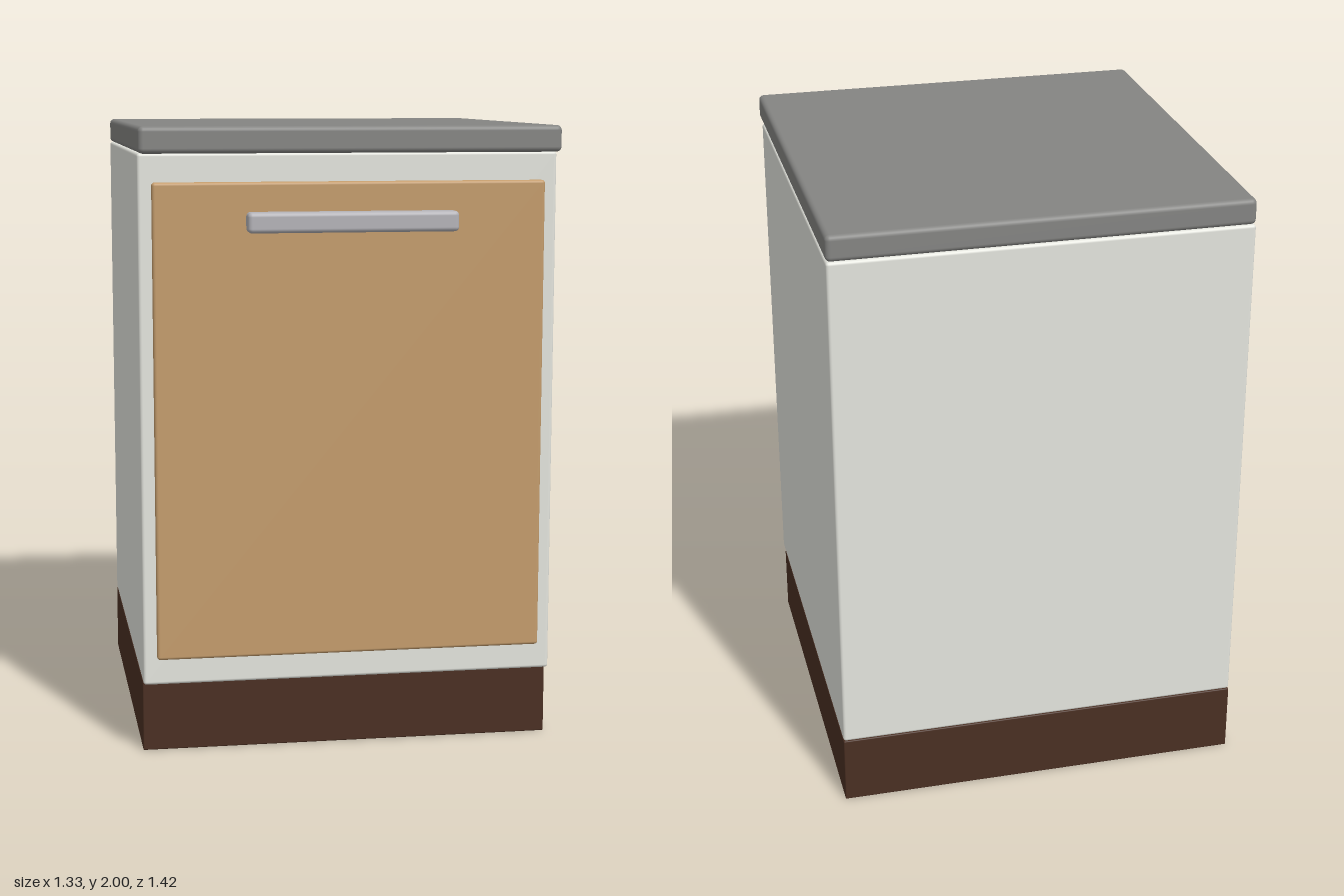
import * as THREE from 'three';
import { RoundedBoxGeometry } from 'three/addons/geometries/RoundedBoxGeometry.js';

// Softly rounded box spanning the given y and z ranges, centred on x = 0
function slab(name, color, width, [y0, y1], [z0, z1], radius) {
  const geometry = new RoundedBoxGeometry(width, y1 - y0, z1 - z0, 3, radius);
  const mesh = new THREE.Mesh(geometry, new THREE.MeshStandardMaterial({ color }));
  mesh.name = name;
  mesh.position.set(0, (y0 + y1) / 2, (z0 + z1) / 2);
  return mesh;
}

export function createModel() {
  const group = new THREE.Group();
  group.name = 'baseCabinet';
  const width = 1.33, back = -0.71;

  group.add(
    // recessed plinth
    slab('plinth', 0x4a2f22, width, [0, 0.23], [back, 0.577], 0.004),
    // cabinet body
    slab('body', 0xe4e5de, width, [0.23, 1.917], [back, 0.624], 0.01),
    // worktop overhanging the front
    slab('worktop', 0x848482, width, [1.917, 2], [back, 0.688], 0.016),
    // door panel and its bar handle
    slab('door', 0xc49c6c, 1.244, [0.317, 1.828], [0.622, 0.651], 0.01),
    slab('handle', 0xb4b3b8, 0.664, [1.673, 1.737], [0.648, 0.714], 0.014),
  );
  return group;
}
